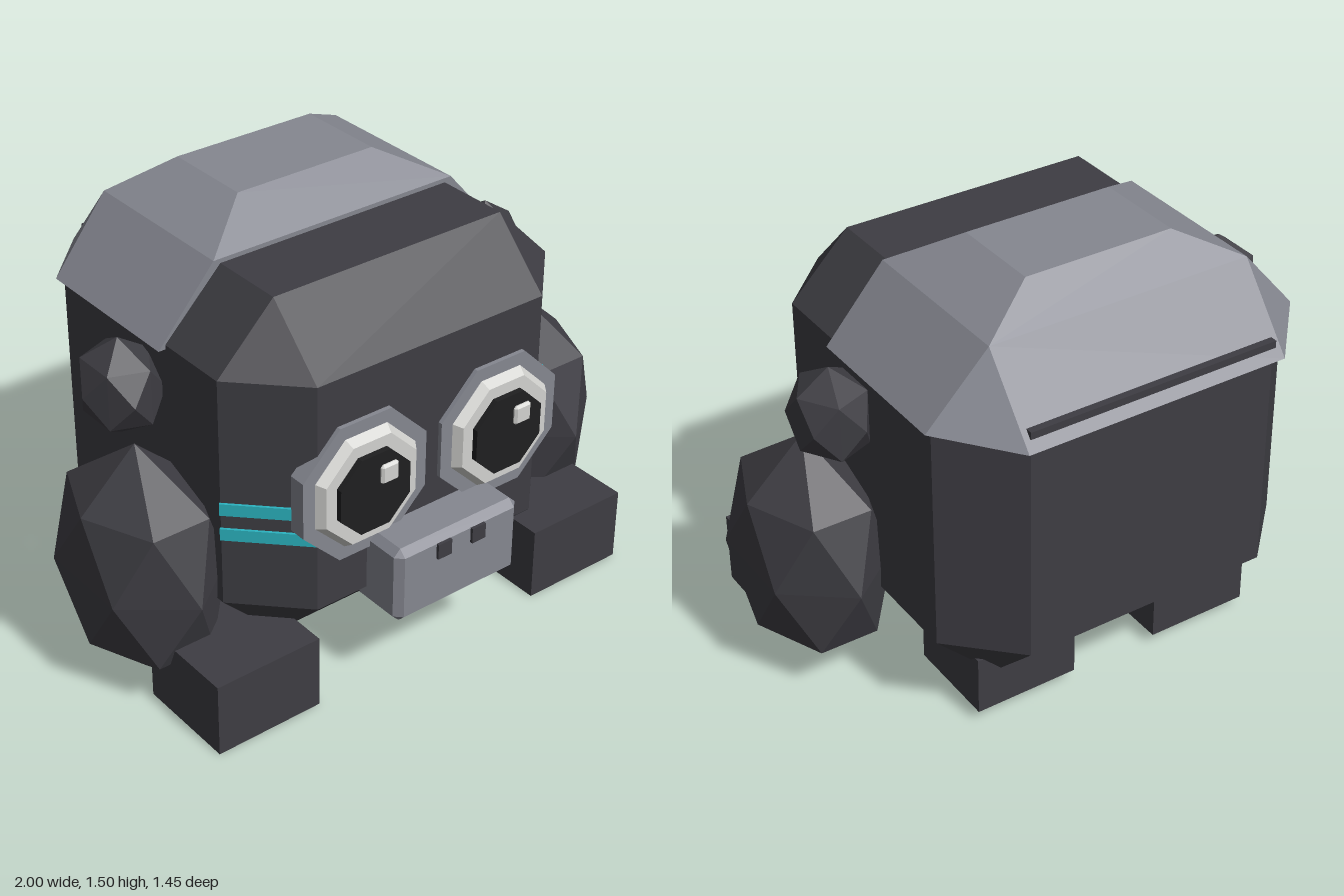
import * as THREE from 'three';
import { ConvexGeometry } from 'three/addons/geometries/ConvexGeometry.js';

const mat = (name, color) => {
  const m = new THREE.MeshStandardMaterial({ color });
  m.name = name;
  return m;
};

const V = (x, y, z) => new THREE.Vector3(x, y, z);

// Box given by min and max corners, all edges chamfered by c
function chamferBox([x0, y0, z0], [x1, y1, z1], c) {
  const pts = [];
  for (const [x, a] of [[x0, c], [x1, -c]])
    for (const [y, b] of [[y0, c], [y1, -c]])
      for (const [z, d] of [[z0, c], [z1, -c]])
        pts.push(V(x, y + b, z + d), V(x + a, y, z + d), V(x + a, y + b, z));
  return new ConvexGeometry(pts);
}

// Faceted ellipsoid: two poles, an n-sided equator and two rings turned half a step
function gem(n, rx, ry, rz, start) {
  const pts = [V(0, ry, 0), V(0, -ry, 0)];
  for (const [h, turn] of [[0.56, 0.5], [0, 0], [-0.56, 0.5]]) {
    const r = Math.sqrt(1 - h * h);
    for (let i = 0; i < n; i++) {
      const a = start + ((i + turn) / n) * Math.PI * 2;
      pts.push(V(Math.cos(a) * r * rx, h * ry, Math.sin(a) * r * rz));
    }
  }
  return new ConvexGeometry(pts);
}

// Eight-sided disc facing +z, measured across its flats, between two depths
function octagon(rBack, rFront, z0, z1) {
  const k = 1 / Math.cos(Math.PI / 8);
  return new THREE.CylinderGeometry(rFront * k, rBack * k, z1 - z0, 8)
    .toNonIndexed()
    .rotateY(Math.PI / 8)
    .rotateX(Math.PI / 2)
    .translate(0, 0, (z0 + z1) / 2);
}

export function createModel() {
  const model = new THREE.Group();
  model.name = 'stockyCreature';
  const fur = mat('charcoal', 0x3e3d43);
  const grey = mat('grey', 0x858790);
  const white = mat('eyeWhite', 0xd2d2cf);
  const black = mat('pupilBlack', 0x1f1f20);
  const cyan = mat('cyan', 0x2bb3c0);
  for (const m of [fur, grey, white, black]) m.flatShading = true;

  const add = (name, geometry, material, x = 0, y = 0, z = 0, parent = model) => {
    const mesh = new THREE.Mesh(geometry, material);
    mesh.name = name;
    mesh.position.set(x, y, z);
    parent.add(mesh);
    return mesh;
  };

  // Body and muzzle
  add('body', chamferBox([-0.655, 0.145, -0.695], [0.655, 1.375, 0.56], 0.21), fur);
  add('muzzle', chamferBox([-0.25, 0.29, 0.5], [0.25, 0.565, 0.715], 0.025), grey);

  // Back plate draped over the top and rear of the body
  const plate = [];
  for (const s of [-1, 1])
    plate.push(
      V(s * 0.265, 1.495, -0.07), V(s * 0.265, 1.495, -0.395),
      V(s * 0.47, 1.39, 0.085), V(s * 0.47, 1.39, -0.515),
      V(s * 0.68, 1.15, 0.085), V(s * 0.68, 1.15, -0.495),
      V(s * 0.47, 1.13, -0.725)
    );
  add('backPlate', new ConvexGeometry(plate), grey);
  add('backPlateSlot', new THREE.BoxGeometry(0.9, 0.025, 0.025), fur, 0, 1.177, -0.69);

  // Shared geometries for paired parts
  const arm = gem(6, 0.248, 0.432, 0.338, Math.PI / 2);
  const ear = gem(5, 0.135, 0.17, 0.157, Math.PI);
  const frontFoot = new THREE.BoxGeometry(0.39, 0.262, 0.365);
  const rearPts = [];
  for (const [y, inset] of [[0, 0.04], [0.04, 0], [0.25, 0]])
    for (const sx of [-1, 1])
      for (const sz of [-1, 1])
        rearPts.push(V(sx * (0.185 - inset), y, sz * (0.168 - inset)));
  const rearFoot = new ConvexGeometry(rearPts);
  const stripe = new THREE.BoxGeometry(0.3, 0.042, 0.009);

  for (const s of [1, -1]) {
    const side = s > 0 ? 'left' : 'right';
    add(side + 'Arm', arm, fur, s * 0.785, 0.433, 0.087);
    add(side + 'Ear', ear, fur, s * 0.745, 0.997, -0.042);
    add(side + 'FrontFoot', frontFoot, fur, s * 0.652, 0.131, 0.402);
    add(side + 'RearFoot', rearFoot, fur, s * 0.345, 0, -0.357);
    add(side + 'Nostril', new THREE.BoxGeometry(0.055, 0.055, 0.02), fur, s * 0.07, 0.513, 0.715);

    // Cheek stripes lie on the slanted front corners
    for (const y of [0.718, 0.626])
      add(side + 'CheekStripe', stripe, cyan, s * 0.558, y, 0.463).rotation.y = (s * Math.PI) / 4;

    // Eye: stacked eight-sided discs and a small glint
    const eye = new THREE.Group();
    eye.name = side + 'Eye';
    eye.position.set(s * 0.271, 0.76, 0);
    model.add(eye);
    add('eyeRim', octagon(0.24, 0.24, 0.515, 0.575), grey, 0, 0, 0, eye);
    add('eyeWhite', octagon(0.195, 0.175, 0.575, 0.605), white, 0, 0, 0, eye);
    add('pupil', octagon(0.135, 0.135, 0.6, 0.625), black, 0, 0, 0, eye);
    add('eyeGlint', chamferBox([-0.034, -0.034, 0.615], [0.034, 0.034, 0.637], 0.008), white, 0.05, 0.055, 0, eye);
  }
  return model;
}
